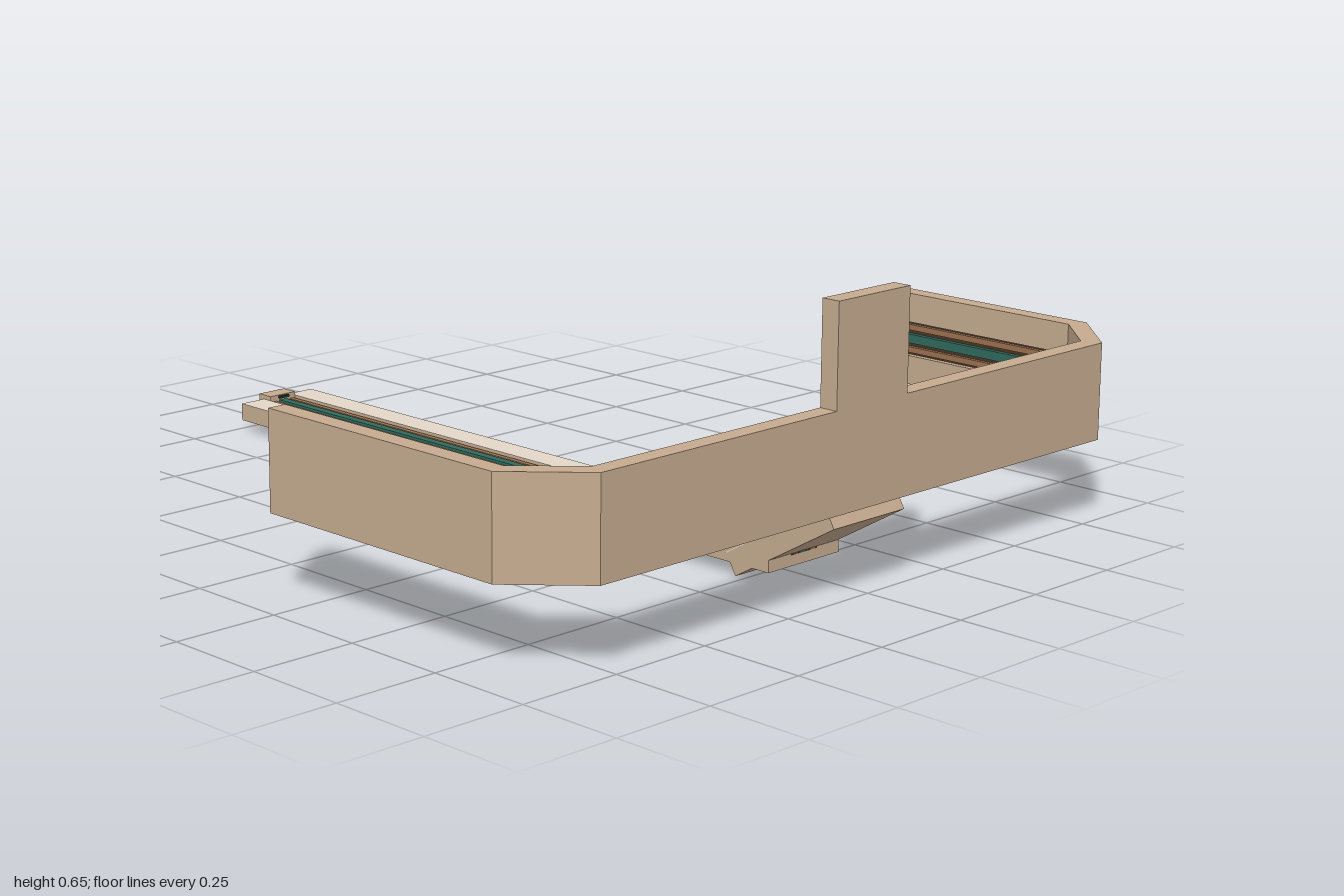
import * as THREE from 'three';

const mat = (color) => new THREE.MeshStandardMaterial({ color, flatShading: true });
const TAN = mat(0xc4aa8e), PALE = mat(0xe2d6c8), BROWN = mat(0x9a6f50), DARK = mat(0x4a3628);
const TEAL = mat(0x2f6a5c), DEEP = mat(0x1d3833);
const V = (x, y, z) => new THREE.Vector3(x, y, z);
const X = V(1, 0, 0), Y = V(0, 1, 0);

const HALF = 0.113;   // half width of every strip
const GROOVE = 0.042; // half width of the channel
const DEPTH = 0.018;  // depth of the channel
const T = 0.045;      // strip thickness

const rect = (u0, u1, d0, d1) => [[u0, d0], [u1, d0], [u1, d1], [u0, d1]];
const grooved = (t) => [
  [-HALF, 0], [HALF, 0], [HALF, t], [GROOVE, t], [GROOVE, t - DEPTH],
  [-GROOVE, t - DEPTH], [-GROOVE, t], [-HALF, t],
];

// Sweeps a counter-clockwise (width, depth) profile along a path with mitred corners
function sweep(name, profile, path, W, material) {
  const normals = path.slice(1).map((p, i) =>
    new THREE.Vector3().crossVectors(W, p.clone().sub(path[i])).normalize());
  const rings = path.map((p, i) => {
    const a = normals[Math.max(i - 1, 0)], b = normals[Math.min(i, normals.length - 1)];
    const m = a.clone().add(b).divideScalar(1 + a.dot(b));
    return profile.map(([u, d]) => p.clone().addScaledVector(W, u).addScaledVector(m, d));
  });
  const pos = [];
  const tri = (...pts) => pts.forEach((p) => pos.push(p.x, p.y, p.z));
  for (let i = 0; i + 1 < rings.length; i++) {
    const r = rings[i], s = rings[i + 1];
    profile.forEach((_, j) => {
      const k = (j + 1) % profile.length;
      tri(r[j], s[k], r[k]);
      tri(r[j], s[j], s[k]);
    });
  }
  const caps = THREE.ShapeUtils.triangulateShape(profile.map(([u, d]) => new THREE.Vector2(u, d)), []);
  const end = rings[rings.length - 1];
  for (const [a, b, c] of caps) {
    tri(rings[0][a], rings[0][b], rings[0][c]);
    tri(end[a], end[c], end[b]);
  }
  const geo = new THREE.BufferGeometry();
  geo.setAttribute('position', new THREE.Float32BufferAttribute(pos, 3));
  geo.computeVertexNormals();
  const mesh = new THREE.Mesh(geo, material);
  mesh.name = name;
  return mesh;
}

function box(name, w, h, d, x, y, z, material) {
  const mesh = new THREE.Mesh(new THREE.BoxGeometry(w, h, d), material);
  mesh.position.set(x, y, z);
  mesh.name = name;
  return mesh;
}

// Dark liner, two brown ribs and a teal cord lying inside a channel
function inlay(name, path, W, t) {
  const g = new THREE.Group();
  g.name = name;
  const floor = t - DEPTH;
  g.add(sweep('channelLiner', rect(-GROOVE, GROOVE, floor - 0.002, floor + 0.003), path, W, DARK));
  for (const s of [-1, 1]) {
    g.add(sweep('channelRib', rect(s * 0.028 - 0.007, s * 0.028 + 0.007, floor, t - 0.004), path, W, BROWN));
  }
  g.add(sweep('tealCord', rect(-0.011, 0.011, floor, t - 0.002), path, W, TEAL));
  return g;
}

// Tongue strip with paler upper faces either side of its channel
function tongueStrip(name, path, t) {
  const g = new THREE.Group();
  g.name = name;
  g.add(sweep('strip', grooved(t), path, X, TAN), inlay('inlay', path, X, t));
  for (const s of [-1, 1]) {
    const c = s * (HALF + GROOVE) / 2, h = (HALF - GROOVE) / 2;
    g.add(sweep('paleFace', rect(c - h, c + h, t - 0.001, t + 0.001), path, X, PALE));
  }
  return g;
}

function medallion() {
  const g = new THREE.Group();
  g.name = 'medallion';
  // Shallow dome in alternating quarters
  for (let i = 0; i < 4; i++) {
    const geo = new THREE.SphereGeometry(0.058, 5, 5, i * Math.PI / 2, Math.PI / 2, 0, Math.PI / 2);
    geo.rotateX(-Math.PI / 2).scale(1, 1, 0.42);
    const quarter = new THREE.Mesh(geo, i % 2 ? DEEP : TEAL);
    quarter.name = 'domeQuarter';
    g.add(quarter);
  }
  // Curved ribs crossing the dome
  for (const a of [0, Math.PI / 2]) {
    const geo = new THREE.TorusGeometry(0.058, 0.004, 5, 14, Math.PI);
    geo.rotateX(-Math.PI / 2).scale(1, 1, 0.42).rotateZ(a);
    const rib = new THREE.Mesh(geo, BROWN);
    rib.name = 'domeRib';
    g.add(rib);
  }
  const rim = new THREE.Mesh(new THREE.TorusGeometry(0.058, 0.009, 6, 24), DEEP);
  rim.name = 'rim';
  g.add(rim);
  g.position.set(0, 0.533, 0.955);
  return g;
}

export function createModel() {
  const model = new THREE.Group();
  model.name = 'headband';

  // Wrap-around band, split at the centre by the upright channel
  const yc = 0.305;
  const rightHalf = [V(-0.94, yc, 0.17), V(-0.94, yc, 0.85), V(-0.795, yc, 1)];
  const leftHalf = [V(0.795, yc, 1), V(0.94, yc, 0.85), V(0.94, yc, 0.285)];
  model.add(
    sweep('bandRight', grooved(T), [...rightHalf, V(-GROOVE, yc, 1)], Y, TAN),
    sweep('bandLeft', grooved(T), [V(GROOVE, yc, 1), ...leftHalf], Y, TAN),
    box('bandCentre', 2 * GROOVE, 2 * HALF, T - DEPTH, 0, yc, 1 - (T - DEPTH) / 2, TAN),
    inlay('bandInlay', [...rightHalf, ...leftHalf], Y, T),
  );

  // Upright tab with its medallion and channel
  model.add(
    sweep('tabLower', grooved(T), [V(0, 0.5, 1), V(0, 0.418, 1)], X, TAN),
    box('tabUpper', 2 * HALF, 0.15, T, 0, 0.575, 1 - T / 2, TAN),
    inlay('uprightInlay', [V(0, 0.5, 1), V(0, 0.192, 1)], X, T),
    medallion(),
  );

  // Sloping neck and long flat tongue
  model.add(
    tongueStrip('slopingNeck', [V(0, 0.165, 1), V(0, 0.002, 0.725)], 0.055),
    tongueStrip('longTongue', [V(0, 0.03, 0.82), V(0, 0.03, -0.98)], 0.042),
    box('endClip', 0.08, 0.023, 0.045, 0, 0.0715, -0.9775, TAN),
    box('endClipCord', 0.03, 0.006, 0.02, 0, 0.078, -0.957, DEEP),
  );
  return model;
}
